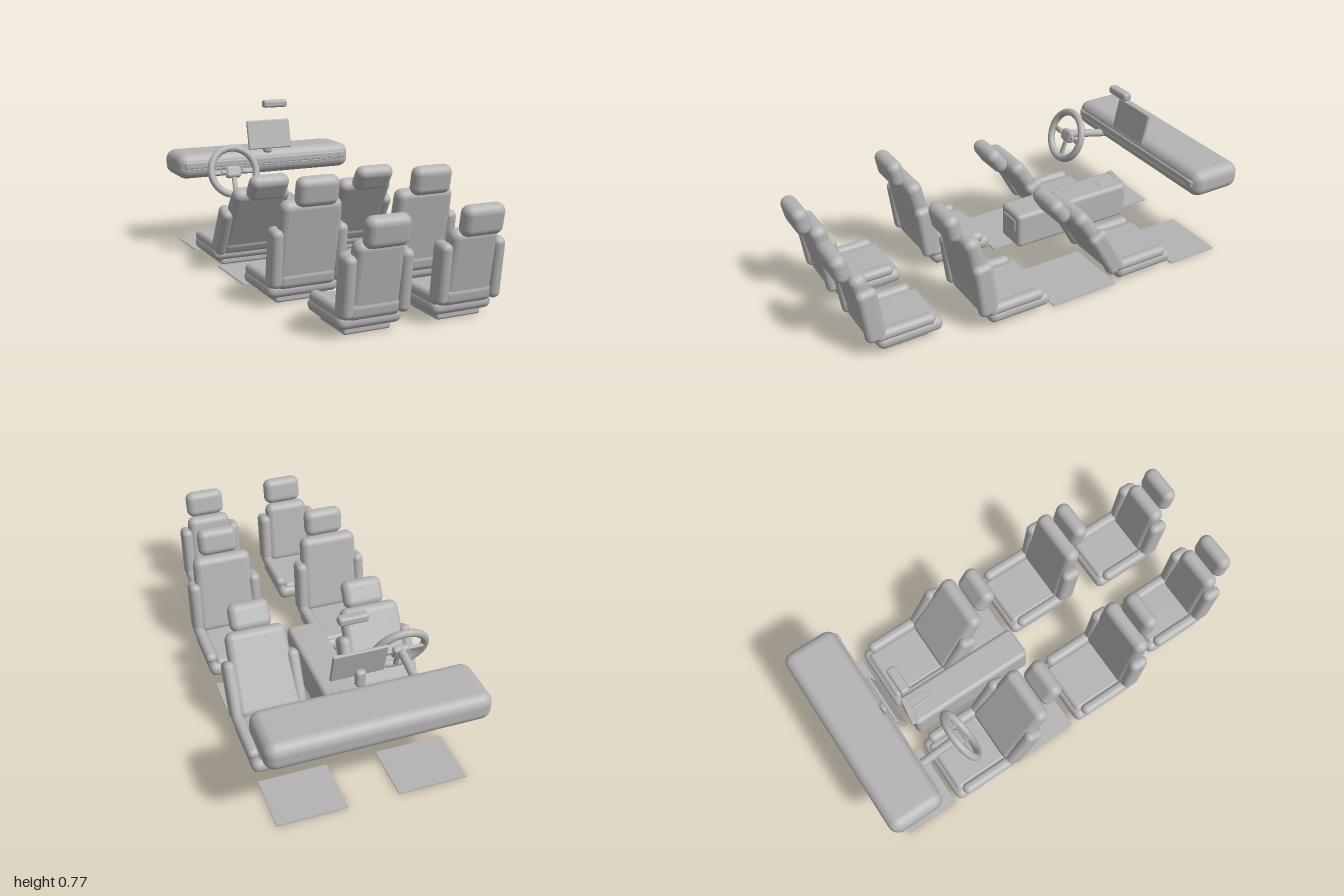
import * as THREE from 'three';
import { RoundedBoxGeometry } from 'three/addons/geometries/RoundedBoxGeometry.js';

const grey = new THREE.MeshStandardMaterial({ color: 0xb4b4b4 });
grey.name = 'plain grey';

function add(parent, name, geometry, x, y, z, tilt = 0) {
  const mesh = new THREE.Mesh(geometry, grey);
  mesh.name = name;
  mesh.position.set(x, y, z);
  mesh.rotation.x = tilt;
  parent.add(mesh);
  return mesh;
}

const soft = (w, h, d, r) => new RoundedBoxGeometry(w, h, d, 5, r);

// Backrest slab that narrows slightly toward the shoulders
function backGeometry(w, h, d) {
  const g = soft(w, h, d, 0.036);
  const p = g.attributes.position;
  for (let i = 0; i < p.count; i++) {
    const t = Math.max(0, p.getY(i) / h);
    p.setX(i, p.getX(i) * (1 - 0.16 * t));
  }
  g.computeBoundingSphere();
  return g;
}

// Seat: z is the front edge of its cushion, half its half width
function makeSeat({ name, x, z, half, backHalf, backHeight, recline }) {
  const seat = new THREE.Group();
  seat.name = name;
  seat.position.set(x, 0, z);

  add(seat, 'seatBase', soft(half * 1.4, 0.036, 0.225, 0.012), 0, 0.018, 0.17);
  add(seat, 'seatCushion', soft(half * 1.9, 0.066, 0.315, 0.031), 0, 0.062, 0.158);
  add(seat, 'cushionPanel', soft(half * 1.5, 0.05, 0.29, 0.02), 0, 0.085, 0.165);
  for (const s of [-1, 1]) {
    add(seat, 'cushionBolster', soft(0.054, 0.052, 0.29, 0.025), s * (half - 0.027), 0.106, 0.185);
  }

  // Everything above the hinge reclines together
  const back = new THREE.Group();
  back.name = 'backrest';
  back.position.set(0, 0.09, 0.305);
  back.rotation.x = recline;
  seat.add(back);
  const lean = 0.2;
  add(back, 'backSlab', backGeometry(backHalf * 2, backHeight, 0.078),
    0, Math.cos(lean) * backHeight / 2, Math.sin(lean) * backHeight / 2, lean);
  add(back, 'lowerBackRoll', soft(half * 1.62, 0.09, 0.075, 0.035), 0, 0.03, 0.012, lean);
  for (const s of [-1, 1]) {
    add(back, 'backWing', soft(0.056, 0.27, 0.094, 0.027), s * (half - 0.028), 0.133, 0.03, 0.13);
  }
  add(back, 'headrest', soft(0.195, 0.133, 0.074, 0.036), 0, backHeight + 0.037, 0.085 + 0.17 * (backHeight - 0.08) - 0.002, 0.2);
  return seat;
}

// Steering wheel facing the driver, with its column
function makeSteering() {
  const group = new THREE.Group();
  group.name = 'steering';
  group.position.set(-0.275, 0.439, -0.515);
  const wheel = new THREE.Group();
  wheel.name = 'steeringWheel';
  wheel.rotation.x = -0.36;
  group.add(wheel);
  add(wheel, 'wheelRim', new THREE.TorusGeometry(0.12, 0.018, 16, 48), 0, 0, 0);
  add(wheel, 'wheelHub', soft(0.08, 0.062, 0.034, 0.015), 0, 0, -0.012);
  for (const s of [-1, 1]) {
    add(wheel, 'sideSpoke', soft(0.09, 0.026, 0.016, 0.007), s * 0.073, 0, -0.01);
    add(wheel, 'spokeButtons', soft(0.026, 0.02, 0.012, 0.005), s * 0.055, 0, 0.002);
  }
  add(wheel, 'lowerSpoke', soft(0.024, 0.09, 0.016, 0.007), 0, -0.07, -0.01);

  const column = new THREE.LineCurve3(new THREE.Vector3(0, 0.005, -0.015), new THREE.Vector3(0, -0.05, -0.26));
  add(group, 'steeringColumn', new THREE.TubeGeometry(column, 1, 0.02, 20), 0, 0, 0);
  return group;
}

function makeDashboard() {
  const dash = new THREE.Group();
  dash.name = 'dashboard';
  add(dash, 'dashBody', soft(0.98, 0.13, 0.267, 0.05), 0, 0.435, -0.8665);
  add(dash, 'dashStrip', soft(0.92, 0.034, 0.02, 0.006), 0, 0.442, -0.737);
  add(dash, 'stripGroove', soft(0.84, 0.008, 0.014, 0.003), 0, 0.422, -0.735);
  for (const s of [-1, 1]) add(dash, 'endVent', soft(0.036, 0.034, 0.022, 0.006), s * 0.438, 0.442, -0.735);

  // Display and its foot
  add(dash, 'displayStand', soft(0.045, 0.08, 0.036, 0.015), 0, 0.523, -0.734);
  add(dash, 'displayScreen', soft(0.24, 0.152, 0.016, 0.006), 0, 0.585, -0.713, -0.22);
  return dash;
}

function makeConsole() {
  const group = new THREE.Group();
  group.name = 'centreConsole';
  add(group, 'consoleBody', soft(0.162, 0.178, 0.63, 0.022), 0, 0.2, -0.33);
  add(group, 'rearVent', soft(0.104, 0.06, 0.008, 0.003), 0, 0.225, -0.013);
  add(group, 'selectorTray', soft(0.084, 0.006, 0.1, 0.002), 0, 0.288, -0.565);
  add(group, 'selectorLever', soft(0.012, 0.012, 0.085, 0.004), 0, 0.288, -0.57);
  const panel = add(group, 'consolePanel', soft(0.14, 0.012, 0.026, 0.004), 0, 0.285, -0.638, 0.2);
  panel.rotation.y = -0.14;
  return group;
}

export function createModel() {
  const model = new THREE.Group();
  model.name = 'carInterior';

  // Three rows of paired seats; the last is narrower and lower
  const rows = [
    { name: 'frontSeat', x: 0.277, z: -0.66, half: 0.179, backHalf: 0.152, backHeight: 0.395, recline: 0.38 },
    { name: 'middleSeat', x: 0.277, z: 0.03, half: 0.179, backHalf: 0.152, backHeight: 0.395, recline: 0 },
    { name: 'rearSeat', x: 0.216, z: 0.532, half: 0.154, backHalf: 0.118, backHeight: 0.325, recline: 0 },
  ];
  for (const row of rows) {
    for (const s of [-1, 1]) model.add(makeSeat({ ...row, x: s * row.x }));
  }

  // Floor mats
  for (const s of [-1, 1]) {
    add(model, 'frontMat', new THREE.BoxGeometry(0.317, 0.005, 0.265), s * 0.275, 0.007, -0.807);
    add(model, 'rearMat', new THREE.BoxGeometry(0.317, 0.005, 0.35), s * 0.275, 0.007, -0.165);
  }

  model.add(makeDashboard(), makeConsole(), makeSteering());
  add(model, 'rearViewMirror', soft(0.13, 0.038, 0.044, 0.012), 0, 0.756, -0.633);
  return model;
}
